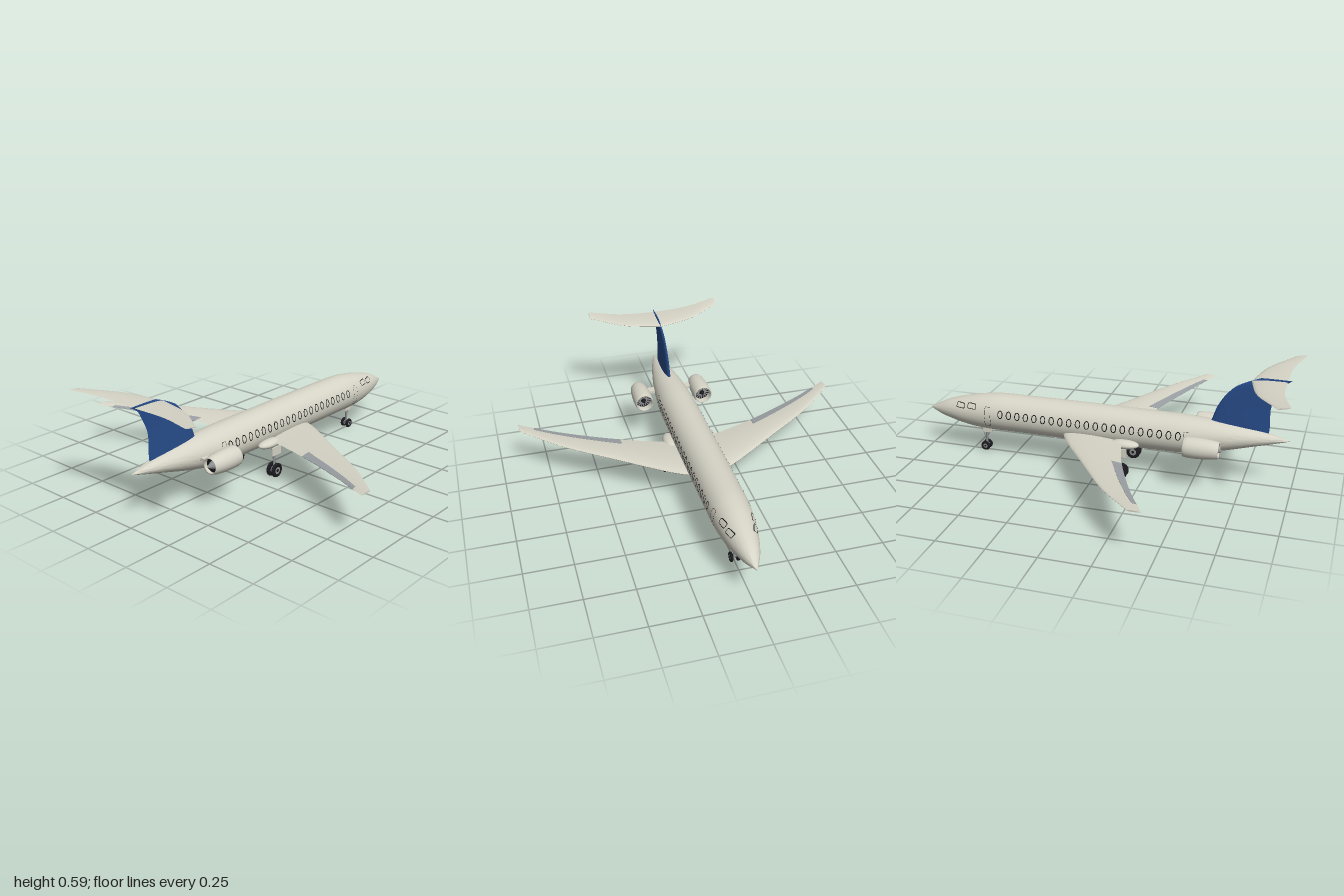
import * as THREE from 'three';
import { mergeGeometries, toCreasedNormals } from 'three/addons/utils/BufferGeometryUtils.js';

const mat = (name, color, side = THREE.FrontSide) => {
  const m = new THREE.MeshStandardMaterial({ color, side });
  m.name = name;
  return m;
};

// Smooth interpolation of table rows [t, a, b, ...], t ascending
function sample(table, t) {
  let i = 0;
  while (i < table.length - 2 && t > table[i + 1][0]) i++;
  const p = table[i], q = table[i + 1], h = q[0] - p[0], s = (t - p[0]) / h;
  const slope = (k, c) => {
    const a = table[Math.max(k - 1, 0)], b = table[Math.min(k + 1, table.length - 1)];
    return (b[c] - a[c]) / (b[0] - a[0]);
  };
  return p.map((v, c) => c === 0 ? t
    : (2 * s ** 3 - 3 * s * s + 1) * v + (s ** 3 - 2 * s * s + s) * h * slope(i, c)
    + (3 * s * s - 2 * s ** 3) * q[c] + (s ** 3 - s * s) * h * slope(i + 1, c));
}

// Closed skin through rings of points, capped, always facing outward
function loft(rings, crease = 0.7) {
  const n = rings[0].length, pos = rings.flat(2), idx = [];
  for (let r = 0; r < rings.length - 1; r++) for (let k = 0; k < n; k++) {
    const a = r * n + k, b = r * n + (k + 1) % n;
    idx.push(a, b, a + n, b, b + n, a + n);
  }
  const last = (rings.length - 1) * n;
  for (let k = 1; k < n - 1; k++) idx.push(0, k + 1, k, last, last + k, last + k + 1);
  const v = (i) => new THREE.Vector3().fromArray(pos, idx[i] * 3);
  let volume = 0;
  for (let i = 0; i < idx.length; i += 3) volume += v(i).dot(v(i + 1).cross(v(i + 2)));
  if (volume < 0) idx.reverse();
  const g = new THREE.BufferGeometry();
  g.setAttribute('position', new THREE.Float32BufferAttribute(pos, 3));
  g.setIndex(idx);
  return toCreasedNormals(g, crease);
}

// Half thickness of an aerofoil at chord position u (0 leading, 1 trailing)
const foil = (u, thick) => thick * 1.3 * Math.sqrt(u) * (1 - u);
const steps = (a, b, n) => Array.from({ length: n + 1 }, (_, i) => a + (b - a) * i / n);
function foilRing(lead, trail, thick, place) {
  return steps(0, 31 / 32, 31).map((f) => {
    const a = f * Math.PI * 2, u = (1 + Math.cos(a)) / 2;
    return place(lead + (trail - lead) * u, Math.sign(Math.sin(a)) * foil(u, thick), u);
  });
}

// Body stations: x, centre y, half height, half width
const BODY = [[-0.975, 0.262, 0.002, 0.002], [-0.9, 0.262, 0.022, 0.026], [-0.8, 0.259, 0.044, 0.052],
  [-0.65, 0.25, 0.074, 0.08], [-0.5, 0.241, 0.094, 0.096], [-0.38, 0.237, 0.102, 0.102],
  [0.55, 0.237, 0.102, 0.102], [0.68, 0.232, 0.095, 0.095], [0.79, 0.227, 0.077, 0.078],
  [0.87, 0.225, 0.057, 0.058], [0.92, 0.221, 0.04, 0.041], [0.965, 0.217, 0.019, 0.02], [1, 0.215, 0.002, 0.002]];
// Wing stations: span z, leading x, trailing x, y, thickness
const WING = [[0, 0.22, -0.13, 0.19, 0.036], [0.1, 0.187, -0.135, 0.19, 0.035], [0.2, 0.133, -0.155, 0.194, 0.031],
  [0.425, -0.02, -0.228, 0.205, 0.022], [0.69, -0.2, -0.34, 0.222, 0.014], [0.888, -0.375, -0.442, 0.24, 0.008]];
const TAILPLANE = [[0, -0.765, -0.94, 0.566, 0.015], [0.2, -0.82, -0.95, 0.573, 0.012], [0.38, -0.937, -1, 0.585, 0.006]];
// Fin stations: y, leading x, trailing x, thickness
const FIN = [[0.25, -0.55, -0.865, 0.03], [0.33, -0.575, -0.87, 0.03], [0.433, -0.615, -0.87, 0.024],
  [0.52, -0.685, -0.905, 0.018], [0.556, -0.75, -0.927, 0.014], [0.58, -0.81, -0.965, 0.008]];

export function createModel() {
  const model = new THREE.Group();
  const cream = mat('cream paint', 0xd6d4c6), blue = mat('blue paint', 0x274c8a);
  const flapGrey = mat('flap grey', 0x9a9fa3), metal = mat('metal', 0x8c8e90);
  const rubber = mat('rubber', 0x1c1c20), trim = mat('dark trim', 0x18181a, THREE.DoubleSide);
  const add = (name, geo, material, parent = model, x = 0, y = 0, z = 0) => {
    const m = new THREE.Mesh(geo, material);
    m.name = name;
    m.position.set(x, y, z);
    parent.add(m);
    return m;
  };
  const group = (name, x = 0, y = 0, z = 0) => {
    const g = new THREE.Group();
    g.name = name;
    g.position.set(x, y, z);
    model.add(g);
    return g;
  };
  const rod = (name, a, b, r, material, parent) => {
    const p = new THREE.Vector3(...a), d = new THREE.Vector3(...b).sub(p);
    const m = add(name, new THREE.CylinderGeometry(r, r, d.length(), 12), material, parent);
    m.position.copy(p).addScaledVector(d, 0.5);
    m.quaternion.setFromUnitVectors(new THREE.Vector3(0, 1, 0), d.normalize());
  };

  // Fuselage
  add('fuselage', loft(steps(-0.975, 1, 90).map((x) => {
    const [, yc, ry, rz] = sample(BODY, x);
    return steps(0, 47 / 48, 47).map((f) => [x, yc + ry * Math.sin(f * 2 * Math.PI), rz * Math.cos(f * 2 * Math.PI)]);
  }), 1), cream);

  // Wings, tailplane and fin
  const span = (table, half, tilt) => loft(steps(-half, half, 64).map((z) => {
    const [, l, t, y, th] = sample(table, Math.abs(z));
    return foilRing(l, t, th, (x, o, u) => [x, y + o + tilt * (u - 0.5), z]);
  }));
  add('wings', span(WING, 0.888, 0), cream);
  add('tailplane', span(TAILPLANE, 0.38, 0.012), cream);
  add('fin', loft(steps(0.25, 0.58, 24).map((y) => {
    const [, l, t, th] = sample(FIN, y);
    return foilRing(l, t, th, (x, o) => [x, y, o]);
  })), blue);

  // Frame line laid on the body side: centre, half size, squareness, line width
  const frame = (cx, cy, w, h, power, line, side) => {
    const pos = [], idx = [], n = 28;
    for (let k = 0; k < n; k++) for (const inset of [0, line]) {
      const a = k / n * Math.PI * 2, c = Math.cos(a), s = Math.sin(a);
      const x = cx + (w - inset) * Math.sign(c) * Math.abs(c) ** power;
      const y = cy + (h - inset) * Math.sign(s) * Math.abs(s) ** power;
      const [, yc, ry, rz] = sample(BODY, x);
      pos.push(x, y, side * (rz * Math.sqrt(Math.max(0, 1 - ((y - yc) / ry) ** 2)) + 0.0015));
    }
    for (let k = 0; k < n; k++) {
      const a = 2 * k, b = 2 * ((k + 1) % n);
      idx.push(...(side > 0 ? [a, b, a + 1, b, b + 1, a + 1] : [a, a + 1, b, b, a + 1, b + 1]));
    }
    const g = new THREE.BufferGeometry();
    g.setAttribute('position', new THREE.Float32BufferAttribute(pos, 3));
    g.setIndex(idx);
    g.computeVertexNormals();
    return g;
  };

  for (const s of [1, -1]) {
    const side = s > 0 ? 'right' : 'left';
    // Cabin windows, doors and cockpit panes
    add(side + 'CabinWindows', mergeGeometries(steps(-0.425, 0.546, 20).map((x) => frame(x, 0.259, 0.015, 0.022, 1, 0.0045, s))), trim);
    add(side + 'Doors', mergeGeometries([frame(0.622, 0.235, 0.018, 0.055, 0.3, 0.0015, s),
      frame(-0.465, 0.25, 0.014, 0.035, 0.3, 0.0015, s)]), trim);
    add(side + 'CockpitWindows', mergeGeometries([frame(0.72, 0.28, 0.027, 0.014, 0.35, 0.003, s),
      frame(0.79, 0.273, 0.027, 0.013, 0.35, 0.003, s)]), trim);

    // Flap plate on the rear of the wing's upper face
    add(side + 'Flap', loft(steps(0.37, 0.81, 24).map((z) => {
      const [, l, t, y, th] = sample(WING, z);
      const top = steps(0.77, 1, 6).map((u) => [l + (t - l) * u, y + foil(u, th), s * z]);
      return [...top.map((p) => [p[0], p[1] + 0.0015, p[2]]), ...top.reverse().map((p) => [p[0], p[1] - 0.0005, p[2]])];
    }), 0.5), flapGrey);

    // Small hinge fairings below the wing
    for (const z of [0.32, 0.46, 0.6, 0.74]) {
      const [, l, t, y, th] = sample(WING, z);
      add(side + 'HingeFairing', new THREE.BoxGeometry(0.04, 0.006, 0.005), cream, model,
        l + (t - l) * 0.72, y - foil(0.72, th) - 0.001, s * z);
    }

    // Engine: nacelle, fan, exhaust and pylon
    const engine = group(side + 'Engine', -0.56, 0.242, s * 0.172);
    const turned = (name, pts, material) => {
      add(name, new THREE.LatheGeometry(pts.map((p) => new THREE.Vector2(...p)), 40), material, engine).rotation.z = -Math.PI / 2;
    };
    turned('nacelle', [[0.036, -0.088], [0.041, -0.09], [0.047, -0.065], [0.052, -0.02], [0.054, 0.03], [0.053, 0.07],
      [0.05, 0.086], [0.047, 0.09], [0.044, 0.086], [0.043, 0.06], [0.042, 0], [0.036, -0.088]], cream);
    turned('fanDisc', [[0.043, 0.05], [0, 0.05]], trim);
    turned('spinner', [[0.014, 0.05], [0.009, 0.068], [0, 0.078]], rubber);
    turned('exhaustDisc', [[0, -0.07], [0.039, -0.07]], trim);
    turned('exhaustCone', [[0, -0.106], [0.007, -0.098], [0.02, -0.07]], metal);
    for (let k = 0; k < 16; k++) {
      const a = k / 16 * Math.PI * 2;
      const blade = add('fanBlade', new THREE.BoxGeometry(0.003, 0.027, 0.006), metal, engine,
        0.054, 0.028 * Math.cos(a), 0.028 * Math.sin(a));
      blade.rotation.x = a;
    }
    add('pylon', new THREE.BoxGeometry(0.045, 0.016, 0.06), cream, engine, -0.04, 0.002, -s * 0.07);

    // Main gear with fairing, door, struts and twin wheels
    const fairing = add(side + 'GearFairing', new THREE.SphereGeometry(1, 32, 20), cream, model, -0.147, 0.184, s * 0.108);
    fairing.scale.set(0.077, 0.023, 0.037);
    const gear = group(side + 'MainGear', -0.135, 0.04, s * 0.131);
    add('gearDoor', new THREE.BoxGeometry(0.068, 0.045, 0.006), cream, gear, 0, 0.108, s * 0.014);
    rod('mainStrut', [0, 0, 0], [0, 0.14, -s * 0.004], 0.0065, metal, gear);
    rod('sideBrace', [0, 0.05, 0], [0, 0.135, -s * 0.025], 0.0035, metal, gear);
    rod('dragBrace', [0, 0.04, 0], [0.03, 0.135, 0], 0.0035, metal, gear);
    wheels(gear, 0.0385, 0.016, 0.016);
  }

  // Nose gear
  const nose = group('noseGear', 0.676, 0.027, 0);
  rod('noseStrut', [0, 0, 0], [-0.008, 0.12, 0], 0.006, metal, nose);
  rod('noseBrace', [0, 0.04, 0], [0.03, 0.11, 0], 0.003, metal, nose);
  for (const s of [1, -1]) add('noseGearDoor', new THREE.BoxGeometry(0.052, 0.032, 0.004), cream, nose, -0.015, 0.1, s * 0.018);
  wheels(nose, 0.026, 0.017, 0.013);

  // Twin wheels with hubs on a shared axle
  function wheels(parent, r, gap, width) {
    const w = width / 2;
    const tyre = new THREE.LatheGeometry([[r * 0.5, -w], [r * 0.85, -w], [r * 0.97, -w * 0.6], [r, 0], [r * 0.97, w * 0.6],
      [r * 0.85, w], [r * 0.5, w], [r * 0.5, -w]].map((p) => new THREE.Vector2(...p)), 32);
    for (const z of [-gap, gap]) {
      add('tyre', tyre, rubber, parent, 0, 0, z).rotation.x = Math.PI / 2;
      add('hub', new THREE.CylinderGeometry(r * 0.52, r * 0.52, width * 0.85, 24), metal, parent, 0, 0, z).rotation.x = Math.PI / 2;
      add('hubCap', new THREE.CylinderGeometry(r * 0.2, r * 0.2, width * 1.1, 16), trim, parent, 0, 0, z).rotation.x = Math.PI / 2;
    }
    rod('axle', [0, 0, -gap], [0, 0, gap], r * 0.15, metal, parent);
  }

  // Belly aerials
  for (const x of [-0.225, 0.27]) add('aerial', new THREE.BoxGeometry(0.012, 0.03, 0.004), cream, model, x, 0.132, 0);
  return model;
}
